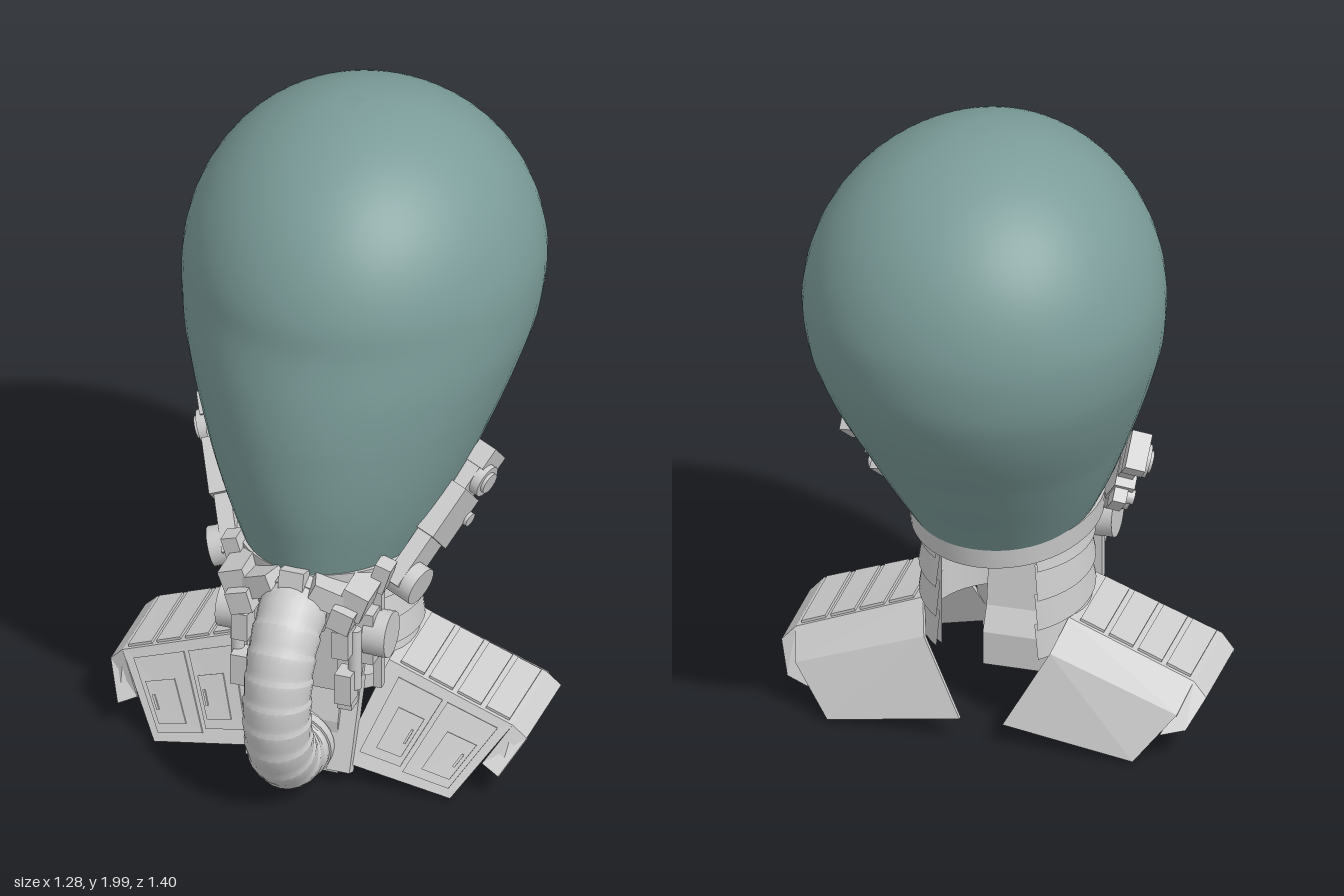
import * as THREE from 'three';
import { mergeVertices, toCreasedNormals } from 'three/addons/utils/BufferGeometryUtils.js';

const grey = new THREE.MeshStandardMaterial({ color: 0xcccccc, side: THREE.DoubleSide });
const teal = new THREE.MeshStandardMaterial({ color: 0x7b9c99, side: THREE.DoubleSide });
const V = (x, y, z) => new THREE.Vector3(x, y, z);

function add(parent, name, geometry, pos = [0, 0, 0], rot = [0, 0, 0], material = grey) {
  const mesh = new THREE.Mesh(geometry, material);
  mesh.name = name;
  mesh.position.set(...pos);
  mesh.rotation.set(...rot);
  parent.add(mesh);
}
const box = (parent, name, size, pos, rot) => add(parent, name, new THREE.BoxGeometry(...size), pos, rot);

// Round disc whose axis points along x
const disc = (parent, name, r, depth, pos) =>
  add(parent, name, toCreasedNormals(new THREE.CylinderGeometry(r, r, depth, 20), 0.6), pos, [0, 0, Math.PI / 2]);

// Flat plate on a four-cornered patch, from height t0 to t1 along its normal
function slab([a, b, c, d], t0, t1) {
  const n = b.clone().sub(a).cross(d.clone().sub(a)).normalize();
  const at = t => [a, b, c, d].map(p => p.clone().addScaledVector(n, t));
  const pts = [...at(t0), ...at(t1)];
  const quads = [[4, 5, 6, 7], [3, 2, 1, 0], [0, 1, 5, 4], [1, 2, 6, 5], [2, 3, 7, 6], [3, 0, 4, 7]];
  const tris = quads.flatMap(([i, j, k, l]) => [i, j, k, i, k, l].map(m => pts[m]));
  const g = new THREE.BufferGeometry().setFromPoints(tris);
  g.computeVertexNormals();
  return g;
}
function patch([a, b, c, d], u0, u1, v0, v1) {
  const at = (u, v) => a.clone().lerp(b, u).lerp(d.clone().lerp(c, u), v);
  return [at(u0, v0), at(u1, v0), at(u1, v1), at(u0, v1)];
}

// Egg-shaped dome: rows of height, half width, front z, back z; the cap is half an ellipsoid
function domeGeometry() {
  const rows = [
    [0.68, 0.262, 0.425, -0.25], [0.8, 0.32, 0.45, -0.34], [0.9, 0.362, 0.469, -0.42], [1.0, 0.402, 0.48, -0.497],
    [1.1, 0.44, 0.484, -0.57], [1.2, 0.475, 0.482, -0.63], [1.32, 0.51, 0.468, -0.68],
  ];
  for (let i = 0; i <= 8; i++) {
    const a = i / 8 * Math.PI / 2, c = Math.max(Math.cos(a), 0.0002), mid = -0.13 - 0.015 * i / 8;
    rows.push([1.46 + 0.54 * Math.sin(a), 0.526 * c, mid + 0.57 * c, mid - 0.57 * c]);
  }
  const outline = new THREE.CatmullRomCurve3(rows.map(r => V(r[1], r[0], 0)), false, 'catmullrom');
  const depth = new THREE.CatmullRomCurve3(rows.map(r => V((r[2] + r[3]) / 2, (r[2] - r[3]) / 2, 0)), false, 'catmullrom');
  const N = 60;
  const g = new THREE.LatheGeometry(outline.getPoints(N).map(p => new THREE.Vector2(p.x, p.y)), 56);
  const p = g.attributes.position;
  for (let i = 0; i < p.count; i++) {
    const t = (i % (N + 1)) / N, w = outline.getPoint(t).x, s = depth.getPoint(t), c = p.getZ(i) / w;
    const z = s.x + c * s.y, y = p.getY(i);
    // slightly narrower toward the front, with a tilted lower edge
    p.setXYZ(i, p.getX(i) * (1 - 0.06 * c), y + 0.06 * (z - 0.08) * Math.max(0, 1 - (y - 0.68) / 0.3), z);
  }
  g.deleteAttribute('uv');
  g.deleteAttribute('normal');
  const merged = mergeVertices(g, 1e-5);
  merged.computeVertexNormals();
  return merged;
}

// Hose with stepped, overlapping segments
function hoseGeometry() {
  const path = new THREE.CatmullRomCurve3([
    V(0, 0.63, 0.40), V(0, 0.6, 0.485), V(0, 0.51, 0.565), V(0, 0.36, 0.602), V(0, 0.22, 0.575), V(0, 0.135, 0.495), V(0, 0.122, 0.38)]);
  const steps = 55, sides = 24;
  const g = new THREE.TubeGeometry(path, steps, 0.1, sides);
  const p = g.attributes.position, v = V();
  for (let i = 0; i < p.count; i++) {
    const ring = Math.floor(i / (sides + 1)), c = path.getPointAt(ring / steps);
    v.fromBufferAttribute(p, i).sub(c).multiplyScalar(1.02 - 0.05 * (ring % 5) / 4).add(c);
    p.setXYZ(i, v.x, v.y, v.z);
  }
  return toCreasedNormals(g, 0.4);
}

// Shoulder guard: front, top and back plates with raised panels
function shoulderGuard() {
  const g = new THREE.Group();
  g.name = 'shoulderGuard';
  const inner = [V(0.12, 0.08, 0.40), V(0.22, 0.36, 0.25), V(0.22, 0.365, -0.04), V(0.19, 0.29, -0.135), V(0.065, 0.07, -0.2)];
  const outer = [V(0.455, 0.012, 0.385), V(0.60, 0.215, 0.25), V(0.60, 0.215, -0.05), V(0.575, 0.15, -0.145), V(0.46, 0.012, -0.21)];
  const quads = [0, 1, 2, 3].map(k => [inner[k], outer[k], outer[k + 1], inner[k + 1]]);
  ['front', 'top', 'backUpper', 'backLower'].forEach((n, k) => add(g, n + 'Plate', slab(quads[k], -0.015, 0)));
  // front panels with doors and latches
  const [front, top] = quads;
  [[0.12, 0.48, 0.14, 0.9], [0.52, 0.93, 0.1, 0.9]].forEach(([u0, u1, v0, v1]) => {
    const panel = patch(front, u0, u1, v0, v1);
    add(g, 'frontPanel', slab(panel, 0, 0.006));
    add(g, 'frontDoor', slab(patch(panel, 0.3, 0.9, 0.12, 0.68), 0.006, 0.011));
    add(g, 'doorLatch', slab(patch(panel, 0.78, 0.83, 0.3, 0.5), 0.011, 0.017));
  });
  // ridged panels on the top
  for (let i = 0; i < 4; i++)
    add(g, 'topPanel', slab(patch(top, 0.08 + i * 0.23, 0.27 + i * 0.23, 0.04, 0.96), 0, 0.008));
  // outer lip
  const lip = [V(0.585, 0.085, 0.335), V(0.64, 0.172, 0.24), V(0.64, 0.172, -0.06), V(0.6, 0.1, -0.14)];
  const edge = [V(0.53, 0.11, 0.32), outer[1], outer[2], V(0.53, 0.09, -0.17)];
  for (let k = 0; k < 3; k++) add(g, 'outerLip', slab([edge[k], lip[k], lip[k + 1], edge[k + 1]], -0.012, 0));
  return g;
}

// Jointed arm leaning back along the dome
function domeArm() {
  const g = new THREE.Group();
  g.name = 'domeArm';
  const along = V(0.165, 0.295, -0.29).normalize();
  const out = V(1, 0, 0).addScaledVector(along, -along.x).normalize();
  g.applyMatrix4(new THREE.Matrix4().makeBasis(out, along, out.clone().cross(along)));
  g.position.set(0.262, 0.658, 0.245);
  box(g, 'lowerArm', [0.05, 0.24, 0.12], [0, 0.08, 0]);
  box(g, 'middleArm', [0.06, 0.17, 0.155], [0.005, 0.22, 0]);
  box(g, 'upperArm', [0.045, 0.2, 0.1], [0, 0.35, 0]);
  box(g, 'armTip', [0.06, 0.07, 0.115], [0.005, 0.415, 0]);
  box(g, 'armBracket', [0.04, 0.1, 0.06], [0, 0.235, -0.09]);
  disc(g, 'lowerJoint', 0.06, 0.09, [0.02, 0, 0]);
  disc(g, 'upperJoint', 0.05, 0.06, [0.02, 0.36, 0]);
  disc(g, 'upperJointCap', 0.033, 0.08, [0.02, 0.36, 0]);
  disc(g, 'smallJoint', 0.022, 0.06, [0.015, 0.245, -0.085]);
  return g;
}

// Machinery beside the hose
function cheekUnit() {
  const g = new THREE.Group();
  g.name = 'cheekUnit';
  box(g, 'frontRail', [0.045, 0.38, 0.06], [0.135, 0.45, 0.37]);
  box(g, 'railFoot', [0.07, 0.34, 0.04], [0.125, 0.21, 0.345], [-0.38, 0, 0]);
  box(g, 'cheekBlock', [0.08, 0.17, 0.09], [0.18, 0.51, 0.345]);
  box(g, 'upperBlock', [0.08, 0.09, 0.13], [0.18, 0.665, 0.4], [0, 0, -0.35]);
  box(g, 'sidePlate', [0.025, 0.4, 0.03], [0.212, 0.51, 0.315]);
  box(g, 'sidePlateCap', [0.05, 0.09, 0.06], [0.225, 0.7, 0.325], [0, 0, -0.3]);
  box(g, 'lowerClamp', [0.05, 0.1, 0.065], [0.16, 0.385, 0.455]);
  box(g, 'midClamp', [0.05, 0.09, 0.07], [0.155, 0.54, 0.46]);
  box(g, 'topClamp', [0.07, 0.07, 0.08], [0.155, 0.625, 0.46], [0, 0, -0.3]);
  box(g, 'collarWing', [0.12, 0.07, 0.1], [0.1, 0.675, 0.43], [0, 0.3, -0.45]);
  disc(g, 'cheekDisc', 0.07, 0.07, [0.225, 0.51, 0.34]);
  add(g, 'cheekPin', new THREE.CylinderGeometry(0.02, 0.02, 0.2, 12), [0.18, 0.47, 0.435]);
  return g;
}

export function createModel() {
  const model = new THREE.Group();
  model.name = 'domedHelmet';

  add(model, 'dome', domeGeometry(), [0, 0, 0], [0, 0, 0], teal);

  // Slightly tilted rim under the dome
  const section = [[0.93, -0.035], [1.03, -0.035], [1.05, 0.035], [0.93, 0.035], [0.93, -0.035]];
  const rim = new THREE.LatheGeometry(section.map(p => new THREE.Vector2(...p)), 56).scale(0.27, 1, 0.33);
  add(model, 'rim', toCreasedNormals(rim, 0.6), [0, 0.668, 0.085], [-0.06, 0, 0]);

  // Overlapping neck bands, open at the back
  for (let i = 0; i < 4; i++) {
    const band = new THREE.CylinderGeometry(0.237, 0.256, 0.115, 40, 1, true, -2.5, 5).scale(1, 1, 1.08);
    add(model, 'neckBand', band, [0, 0.35 + i * 0.09, 0.08], [-0.14 + i * 0.04, 0, 0]);
  }
  add(model, 'neckLiner', new THREE.CylinderGeometry(0.23, 0.23, 0.42, 40, 1, true, -2.45, 4.9), [0, 0.46, 0.085]);

  // Hose with end collars
  add(model, 'hose', hoseGeometry());
  add(model, 'hoseTopCollar', new THREE.CylinderGeometry(0.115, 0.115, 0.07, 8), [0, 0.62, 0.41], [Math.PI / 2 + 0.25, 0, 0]);
  add(model, 'hoseBottomCollar', toCreasedNormals(new THREE.CylinderGeometry(0.106, 0.106, 0.03, 24), 0.6), [0, 0.126, 0.415], [Math.PI / 2, 0, 0]);
  box(model, 'topClip', [0.075, 0.1, 0.08], [0, 0.695, 0.45], [-0.25, 0, 0]);

  // Wedge-shaped block behind the hose
  const wedge = new THREE.Shape([[-0.385, 0.025], [-0.21, 0.025], [-0.21, 0.13], [-0.25, 0.2], [-0.28, 0.4], [-0.32, 0.4], [-0.385, 0.2]]
    .map(p => new THREE.Vector2(...p)));
  const wedgeGeo = new THREE.ExtrudeGeometry(wedge, { depth: 0.22, bevelEnabled: false }).translate(0, 0, -0.11).rotateY(Math.PI / 2);
  add(model, 'baseBlock', wedgeGeo);
  box(model, 'frontBackplate', [0.24, 0.36, 0.04], [0, 0.48, 0.35]);

  // Mirrored side assemblies
  for (const s of [1, -1]) {
    const side = new THREE.Group();
    side.name = s > 0 ? 'leftSide' : 'rightSide';
    side.add(shoulderGuard(), domeArm(), cheekUnit());
    side.scale.x = s;
    model.add(side);
  }
  return model;
}
